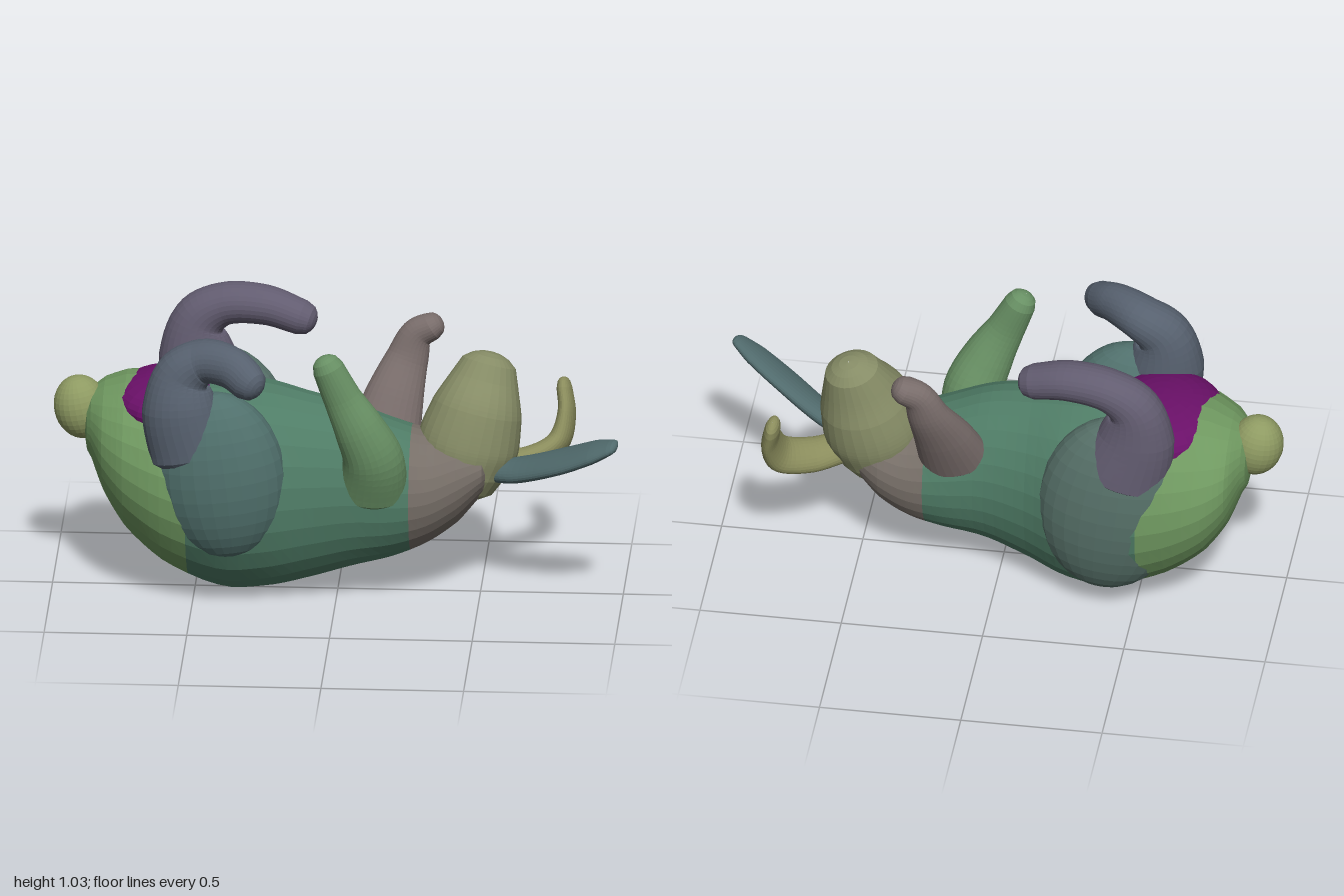
import * as THREE from 'three';

const SIDES = 28;

function paint(color) {
  return new THREE.MeshStandardMaterial({ color, flatShading: true });
}

// Elliptical loft. rows: [x, y, z, half-width along side, half-width across].
// A fixed axis keeps all rings parallel; cap is the length of the domed ends.
function loft(rows, { side = [0, 0, 1], axis = null, cap = 0.05, steps = 24, from = 0, to = 1 } = {}) {
  const path = new THREE.CatmullRomCurve3(rows.map(r => new THREE.Vector3(r[0], r[1], r[2])));
  const size = new THREE.CatmullRomCurve3(rows.map(r => new THREE.Vector3(r[3], r[4], 0)));
  const rings = [];
  const dome = [0.02, 0.3, 0.55, 0.8];
  if (from === 0) dome.forEach(s => rings.push([0, -Math.sqrt(1 - s * s) * cap, s]));
  for (let i = 0; i <= steps; i++) rings.push([from + (to - from) * i / steps, 0, 1]);
  if (to === 1) dome.slice().reverse().forEach(s => rings.push([1, Math.sqrt(1 - s * s) * cap, s]));

  const pos = [], index = [];
  rings.forEach(([t, shift, scale], i) => {
    const T = axis ? new THREE.Vector3(...axis) : path.getTangent(t);
    const U = new THREE.Vector3(...side);
    U.addScaledVector(T, -U.dot(T)).normalize();
    const V = new THREE.Vector3().crossVectors(T, U);
    const c = path.getPoint(t).addScaledVector(T, shift);
    const r = size.getPoint(t);
    for (let j = 0; j < SIDES; j++) {
      const a = j / SIDES * Math.PI * 2;
      const p = c.clone()
        .addScaledVector(U, Math.cos(a) * r.x * scale)
        .addScaledVector(V, Math.sin(a) * r.y * scale);
      pos.push(p.x, p.y, p.z);
      if (i < rings.length - 1) {
        const k = (j + 1) % SIDES, b = i * SIDES, n = b + SIDES;
        index.push(b + j, b + k, n + k, b + j, n + k, n + j);
      }
    }
  });
  const g = new THREE.BufferGeometry();
  g.setAttribute('position', new THREE.Float32BufferAttribute(pos, 3));
  g.setIndex(index);
  g.computeVertexNormals();
  return g;
}

export function createModel() {
  const model = new THREE.Group();
  const add = (name, geometry, color) => {
    const m = new THREE.Mesh(geometry, paint(color));
    m.name = name;
    model.add(m);
    return m;
  };
  const blob = (name, center, radii, color, tilt = 0) => {
    const m = add(name, new THREE.SphereGeometry(1, 26, 18), color);
    m.position.set(...center);
    m.scale.set(...radii);
    m.rotation.z = tilt;
  };

  // Trunk lying on its back: x, bottom, top, right edge, left edge
  const trunk = [
    [-0.865, 0.45, 0.70, -0.22, 0.06],
    [-0.82, 0.335, 0.73, -0.31, 0.15],
    [-0.74, 0.21, 0.76, -0.365, 0.23],
    [-0.60, 0.09, 0.77, -0.385, 0.29],
    [-0.40, 0.005, 0.76, -0.38, 0.30],
    [-0.25, 0.01, 0.75, -0.34, 0.275],
    [-0.10, 0.05, 0.72, -0.26, 0.24],
    [0.05, 0.10, 0.69, -0.22, 0.23],
    [0.20, 0.14, 0.63, -0.22, 0.22],
    [0.32, 0.19, 0.59, -0.22, 0.19],
    [0.42, 0.26, 0.60, -0.21, 0.16],
    [0.51, 0.37, 0.58, -0.17, 0.12],
  ].map(([x, y0, y1, z0, z1]) => [x, (y0 + y1) / 2, (z0 + z1) / 2, (z1 - z0) / 2, (y1 - y0) / 2]);
  const zones = [
    ['rump', 0, 0.31, 0x6f9860],
    ['belly', 0.31, 0.77, 0x4f7c66],
    ['chest', 0.77, 1, 0x776f68],
  ];
  for (const [name, from, to, color] of zones) {
    add(name, loft(trunk, { axis: [1, 0, 0], cap: 0.025, steps: Math.round((to - from) * 44), from, to }), color);
  }

  // Head tipped up, nose at the top
  add('head', loft([
    [0.435, 0.44, -0.03, 0.15, 0.15],
    [0.455, 0.54, -0.045, 0.165, 0.178],
    [0.485, 0.66, -0.062, 0.152, 0.16],
    [0.51, 0.76, -0.09, 0.108, 0.12],
  ], { cap: 0.1 }), 0x868c66);

  // Ears: one straight blade, one bent upward
  add('leftEar', loft([
    [0.52, 0.45, 0.0, 0.04, 0.035],
    [0.64, 0.48, 0.06, 0.065, 0.034],
    [0.80, 0.55, 0.15, 0.074, 0.03],
    [0.91, 0.605, 0.205, 0.064, 0.028],
    [0.97, 0.635, 0.235, 0.042, 0.02],
  ], { side: [-0.4, -0.35, 0.75], cap: 0.025 }), 0x506a6c);
  add('rightEar', loft([
    [0.54, 0.46, -0.07, 0.06, 0.045],
    [0.66, 0.45, -0.135, 0.065, 0.042],
    [0.76, 0.49, -0.20, 0.068, 0.04],
    [0.787, 0.58, -0.25, 0.065, 0.031],
    [0.777, 0.66, -0.285, 0.05, 0.027],
  ], { side: [-0.12, 0.4, 0.85], cap: 0.04 }), 0x8a8c5c);

  // Front legs
  add('leftFrontLeg', loft([
    [0.13, 0.42, 0.15, 0.09, 0.125],
    [0.135, 0.56, 0.20, 0.09, 0.108],
    [0.09, 0.68, 0.228, 0.074, 0.09],
    [0.03, 0.80, 0.238, 0.052, 0.068],
    [-0.02, 0.91, 0.24, 0.053, 0.056],
  ], { cap: 0.05 }), 0x689064);
  add('rightFrontLeg', loft([
    [0.15, 0.50, -0.14, 0.08, 0.13],
    [0.185, 0.64, -0.205, 0.07, 0.105],
    [0.225, 0.76, -0.262, 0.054, 0.077],
    [0.26, 0.85, -0.28, 0.049, 0.058],
    [0.31, 0.88, -0.285, 0.054, 0.05],
  ], { cap: 0.045 }), 0x786c6a);

  // Haunches bulging from the flanks
  blob('leftHaunch', [-0.40, 0.49, 0.205], [0.23, 0.31, 0.14], 0x50706c, 0.12);
  blob('rightHaunch', [-0.42, 0.45, -0.25], [0.26, 0.36, 0.145], 0x567068, 0.12);

  // Hind legs with long feet bent forward
  add('leftHindLeg', loft([
    [-0.50, 0.58, 0.215, 0.11, 0.15],
    [-0.54, 0.74, 0.215, 0.11, 0.135],
    [-0.53, 0.86, 0.205, 0.09, 0.1],
    [-0.46, 0.915, 0.21, 0.085, 0.08],
    [-0.36, 0.92, 0.275, 0.068, 0.075],
    [-0.295, 0.89, 0.335, 0.06, 0.068],
  ], { cap: 0.06, steps: 30 }), 0x56606e);
  add('rightHindLeg', loft([
    [-0.46, 0.60, -0.265, 0.12, 0.17],
    [-0.51, 0.77, -0.275, 0.1, 0.135],
    [-0.50, 0.89, -0.28, 0.086, 0.095],
    [-0.42, 0.95, -0.275, 0.08, 0.076],
    [-0.27, 0.96, -0.25, 0.077, 0.07],
    [-0.14, 0.925, -0.225, 0.066, 0.062],
  ], { cap: 0.055, steps: 30 }), 0x625c70);

  // Groin patch between the hind legs
  blob('groin', [-0.57, 0.68, -0.04], [0.22, 0.1, 0.25], 0x6a1068, -0.05);

  // Tail
  blob('tail', [-0.905, 0.63, -0.08], [0.095, 0.115, 0.09], 0x8e9a62, 0.2);

  return model;
}
